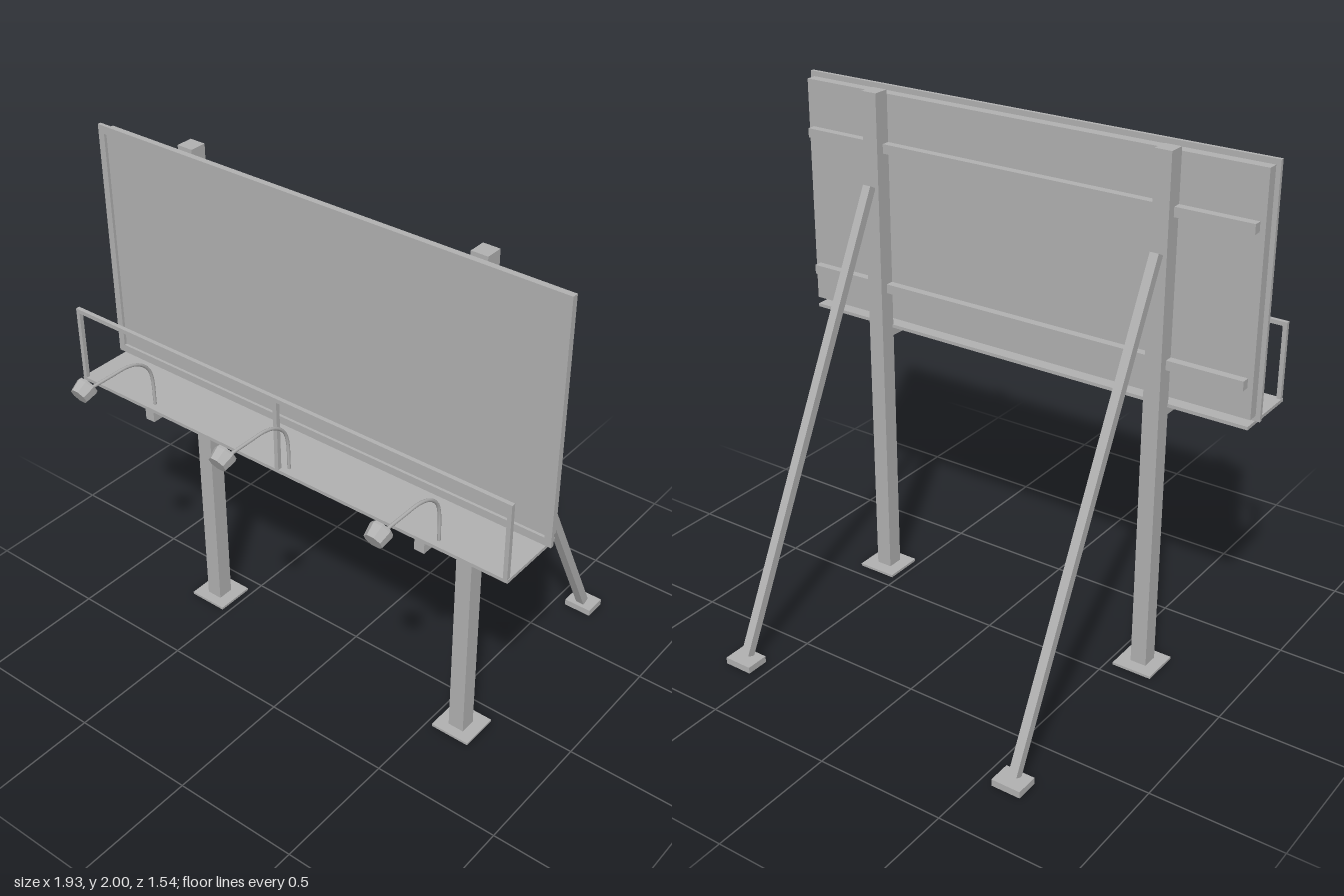
import * as THREE from 'three';

const steel = new THREE.MeshStandardMaterial({ color: 0xb0b0b0 });
steel.name = 'grey steel';

export function createModel() {
  const model = new THREE.Group();
  model.name = 'billboard';

  function add(name, geometry, parent = model) {
    const mesh = new THREE.Mesh(geometry, steel);
    mesh.name = name;
    parent.add(mesh);
    return mesh;
  }

  // Box given by its limits on each axis
  function box(name, [x0, x1], [y0, y1], [z0, z1], parent = model) {
    const mesh = add(name, new THREE.BoxGeometry(x1 - x0, y1 - y0, z1 - z0), parent);
    mesh.position.set((x0 + x1) / 2, (y0 + y1) / 2, (z0 + z1) / 2);
    return mesh;
  }

  // Display panel and its raised border
  box('panel', [-0.95, 0.95], [1.1, 1.98], [0.17, 0.213]);
  const border = new THREE.Shape();
  border.moveTo(-0.967, 1.08).lineTo(0.967, 1.08).lineTo(0.967, 2).lineTo(-0.967, 2).closePath();
  const opening = new THREE.Path();
  opening.moveTo(-0.94, 1.11).lineTo(-0.94, 1.97).lineTo(0.94, 1.97).lineTo(0.94, 1.11).closePath();
  border.holes.push(opening);
  const borderGeometry = new THREE.ExtrudeGeometry(border, { depth: 0.014, bevelEnabled: false });
  borderGeometry.translate(0, 0, 0.21);
  add('panelFrame', borderGeometry);

  // Horizontal rails behind the panel
  for (const y of [1.232, 1.782]) {
    box('backRail', [-0.93, 0.93], [y - 0.018, y + 0.018], [0.138, 0.17]);
  }

  // Posts with base plates, walkway brackets and diagonal braces
  for (const x of [-0.605, 0.605]) {
    const support = new THREE.Group();
    support.name = 'support';
    model.add(support);
    box('post', [x - 0.032, x + 0.032], [0, 1.995], [0.105, 0.17], support);
    box('basePlate', [x - 0.08, x + 0.08], [0, 0.01], [0.055, 0.21], support);
    box('walkwayBracket', [x - 0.02, x + 0.02], [1.02, 1.062], [0.165, 0.437], support);
    box('braceFoot', [x - 0.057, x + 0.057], [0, 0.026], [-0.77, -0.68], support);

    const top = new THREE.Vector3(x, 1.645, 0.092);
    const bottom = new THREE.Vector3(x, 0.03, -0.715);
    const along = top.clone().sub(bottom);
    const brace = add('brace', new THREE.BoxGeometry(0.034, along.length(), 0.034), support);
    brace.position.copy(top).add(bottom).multiplyScalar(0.5);
    brace.rotation.x = Math.atan2(along.z, along.y);
  }

  // Walkway and guard rail
  box('walkway', [-0.945, 0.945], [1.062, 1.075], [0.165, 0.437]);
  for (const x of [-0.935, 0, 0.935]) {
    box('railPost', [x - 0.008, x + 0.008], [1.075, 1.357], [0.421, 0.437]);
  }
  box('topRail', [-0.943, 0.943], [1.35, 1.366], [0.421, 0.437]);

  // Lamps on curved arms
  const armCurve = new THREE.CatmullRomCurve3([
    [1.075, 0.406], [1.19, 0.41], [1.235, 0.425], [1.272, 0.465],
    [1.291, 0.52], [1.293, 0.6], [1.293, 0.705],
  ].map(([y, z]) => new THREE.Vector3(0, y, z)));
  const armGeometry = new THREE.TubeGeometry(armCurve, 24, 0.006, 8, false);
  const headGeometry = new THREE.LatheGeometry([
    [0, -0.026], [0.034, -0.026], [0.041, 0.018], [0.038, 0.027], [0, 0.027],
  ].map(([r, y]) => new THREE.Vector2(r, y)), 8).toNonIndexed();
  headGeometry.rotateY(Math.PI / 8);
  headGeometry.computeVertexNormals();

  for (const x of [-0.605, 0.03, 0.66]) {
    const lamp = new THREE.Group();
    lamp.name = 'lamp';
    lamp.position.x = x;
    model.add(lamp);
    add('lampArm', armGeometry, lamp);
    // Narrow end points forward and slightly down
    const head = add('lampHead', headGeometry, lamp);
    head.position.set(0, 1.299, 0.73);
    head.rotation.x = -Math.PI / 2 + 0.45;
  }

  return model;
}
